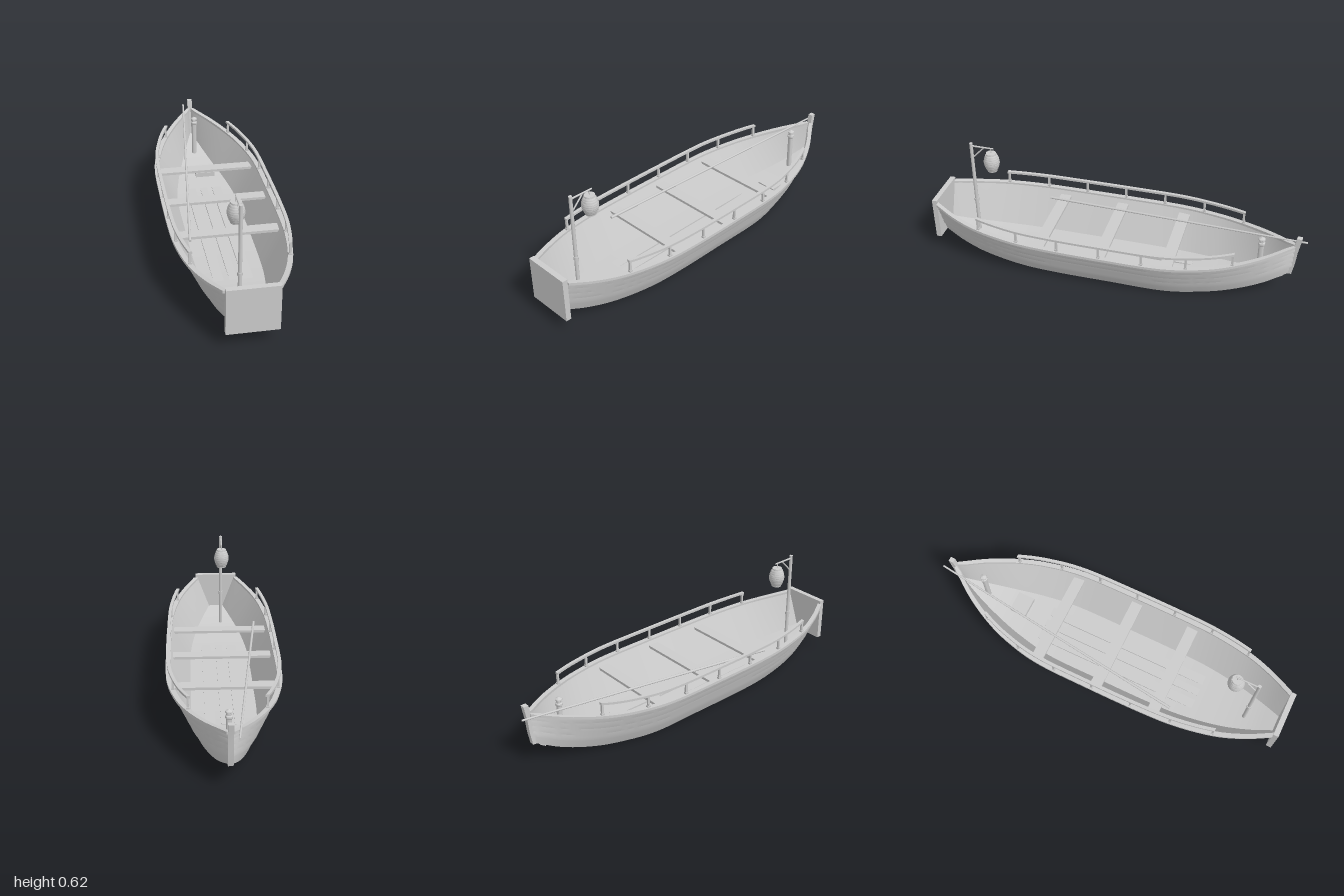
import * as THREE from 'three';
import { toCreasedNormals } from 'three/addons/utils/BufferGeometryUtils.js';

const V = (x, y, z) => new THREE.Vector3(x, y, z);

// hull stations: z, sheer half width, sheer height, chine half width, chine height
const stations = [
  [0.975, 0.122, 0.288, 0.045, 0.08], [0.85, 0.185, 0.268, 0.09, 0.046], [0.7, 0.238, 0.253, 0.13, 0.022],
  [0.5, 0.273, 0.241, 0.16, 0.006], [0.3, 0.284, 0.236, 0.169, 0], [0, 0.286, 0.235, 0.17, 0],
  [-0.3, 0.28, 0.236, 0.167, 0], [-0.5, 0.243, 0.243, 0.137, 0.014], [-0.65, 0.19, 0.255, 0.1, 0.034],
  [-0.8, 0.11, 0.275, 0.055, 0.075], [-0.94, 0.008, 0.3, 0.005, 0.14],
];
const sheer = new THREE.CatmullRomCurve3(stations.map(s => V(s[1], s[2], s[0])), false, 'catmullrom');
const chine = new THREE.CatmullRomCurve3(stations.map(s => V(s[3], s[4], s[0])), false, 'catmullrom');

// sheer and chine points at a given z
function at(z) {
  let a = 0, b = 1;
  for (let i = 0; i < 30; i++) {
    const m = (a + b) / 2;
    if (sheer.getPoint(m).z > z) a = m; else b = m;
  }
  return { s: sheer.getPoint(a), c: chine.getPoint(a) };
}

const steps = (from, to, n) => Array.from({ length: n + 1 }, (_, i) => from + (to - from) * i / n);

// skin a row of closed rings
function loft(rings, caps, crease = 0.5) {
  const n = rings[0].length, index = [];
  for (let i = 0; i < rings.length - 1; i++) {
    for (let j = 0; j < n; j++) {
      const a = i * n + j, b = i * n + (j + 1) % n;
      index.push(a, b, a + n, b, b + n, a + n);
    }
  }
  if (caps) {
    const e = (rings.length - 1) * n;
    for (let j = 1; j < n - 1; j++) index.push(0, j + 1, j, e, e + j, e + j + 1);
  }
  const g = new THREE.BufferGeometry().setFromPoints(rings.flat());
  g.setIndex(index);
  return toCreasedNormals(g, crease);
}

// ring of the lapped planks outside and the smooth skin and floor inside
const laps = [0, 0.26, 0.45, 0.64, 0.83, 1];
function hullRing(z) {
  const { s, c } = at(z);
  const dx = s.x - c.x, dy = s.y - c.y, len = Math.hypot(dx, dy);
  const point = (f, off) => V(Math.max(0.001, c.x + dx * f + off * dy / len), c.y + dy * f - off * dx / len, z);
  const half = [];
  for (let i = 0; i < 5; i++) {
    half.push(point(laps[i], i ? 0.006 : 0), point((laps[i] + laps[i + 1]) / 2, i ? 0.005 : 0.001), point(laps[i + 1], 0));
  }
  half.push(point(1, -0.012), point(0.5, -0.012), point(0.02 / dy, -0.012));
  return [...half, ...half.map(p => V(-p.x, p.y, p.z)).reverse()];
}

// rectangular strip following the sheer on one side
function strip(from, to, side, width, y0, y1, shift) {
  return loft(steps(from, to, 48).map(z => {
    const { s } = at(z), w = width / 2;
    return [[-w, y0], [w, y0], [w, y1], [-w, y1]]
      .map(([x, y]) => V(side * Math.max(0.001, s.x + shift + x), s.y + y, z));
  }), true);
}

export function createModel() {
  const boat = new THREE.Group();
  boat.name = 'rowingBoat';
  const material = new THREE.MeshStandardMaterial({ color: 0xcccccc, side: THREE.DoubleSide });

  const add = (name, geometry, x = 0, y = 0, z = 0, parent = boat) => {
    const mesh = new THREE.Mesh(geometry, material);
    mesh.name = name;
    mesh.position.set(x, y, z);
    parent.add(mesh);
    return mesh;
  };
  const box = (name, w, h, d, x, y, z, parent) => add(name, new THREE.BoxGeometry(w, h, d), x, y, z, parent);
  const rod = (name, a, b, r0, r1 = r0, parent = boat) => {
    const mesh = add(name, new THREE.CylinderGeometry(r1, r0, a.distanceTo(b), 12), 0, 0, 0, parent);
    mesh.position.copy(a).lerp(b, 0.5);
    mesh.quaternion.setFromUnitVectors(V(0, 1, 0), b.clone().sub(a).normalize());
    return mesh;
  };
  const lathe = (name, pts, x, y, z, parent) => add(name,
    toCreasedNormals(new THREE.LatheGeometry(pts.map(p => new THREE.Vector2(...p)), 24), 0.6), x, y, z, parent);

  // hull, transom and stem
  add('hull', loft(steps(0.975, -0.94, 72).map(hullRing), false));
  box('transom', 0.25, 0.236, 0.028, 0, 0.193, 0.986);
  const stemPath = [[0.13, -0.925], [0.2, -0.937], [0.27, -0.943], [0.355, -0.957]];
  add('stem', loft(stemPath.map(([y, z]) =>
    [[-1, -1], [1, -1], [1, 1], [-1, 1]].map(([x, d]) => V(x * 0.013, y, z + d * 0.013))), true));
  box('stemFoot', 0.024, 0.022, 0.034, 0, 0.11, -0.878).rotation.x = 0.6;

  // gunwales and handrails
  for (const side of [1, -1]) {
    const name = side > 0 ? 'left' : 'right';
    add(name + 'Gunwale', strip(0.972, -0.94, side, 0.026, -0.007, 0.007, -0.002));
    const rail = new THREE.Group();
    rail.name = name + 'Handrail';
    boat.add(rail);
    add('railBar', strip(0.697, -0.657, side, 0.017, 0.065, 0.077, -0.004), 0, 0, 0, rail);
    for (const z of steps(0.69, -0.65, 6)) {
      const { s } = at(z), x = side * (s.x - 0.004);
      box('railPost', 0.011, 0.066, 0.011, x, s.y + 0.036, z, rail);
      box('railPostFoot', 0.016, 0.01, 0.016, x, s.y + 0.011, z, rail);
    }
  }

  // thwarts, floor boards and bow locker
  for (const z of [-0.32, 0.03, 0.362]) box('thwart', 0.52, 0.014, 0.062, 0, 0.206, z);
  for (const [x, w] of [[-0.074, 0.052], [0, 0.04], [0.074, 0.052]]) {
    box('floorBoard', w, 0.014, 0.96, x, 0.026, 0.07);
  }
  box('bowLocker', 0.112, 0.04, 0.095, 0.03, 0.048, -0.575);

  // mooring post in the bow
  lathe('mooringPost', [[0, 0.06], [0.014, 0.06], [0.014, 0.275], [0.018, 0.28], [0.018, 0.29], [0.013, 0.295],
    [0.013, 0.305], [0.018, 0.309], [0.017, 0.315], [0, 0.325]], 0, 0, -0.77);

  // long pole lying over the thwarts
  rod('boatPole', V(-0.2, 0.219, 0.435), V(-0.035, 0.306, -0.998), 0.007, 0.005);

  // lantern on its post
  const lamp = new THREE.Group();
  lamp.name = 'lanternStand';
  lamp.position.set(-0.025, 0, 0);
  boat.add(lamp);
  rod('lanternPost', V(0, 0.04, 0.805), V(0, 0.617, 0.805), 0.01, 0.009, lamp);
  rod('postCollar', V(0, 0.25, 0.805), V(0, 0.268, 0.805), 0.013, 0.013, lamp);
  rod('lanternArm', V(0, 0.6, 0.812), V(0, 0.6, 0.68), 0.005, 0.004, lamp);
  rod('armBrace', V(0, 0.528, 0.802), V(0, 0.597, 0.735), 0.004, 0.004, lamp);
  rod('lanternHook', V(0, 0.57, 0.695), V(0, 0.6, 0.695), 0.0025, 0.0025, lamp);
  const profile = [[0, -0.054], [0.027, -0.054], [0.028, -0.045]];
  for (let i = 0; i <= 32; i++) {
    const t = i / 32;
    profile.push([0.029 + 0.0125 * Math.sin(Math.PI * t) + 0.0015 * Math.abs(Math.sin(8 * Math.PI * t)), -0.045 + 0.09 * t]);
  }
  profile.push([0.028, 0.045], [0.027, 0.054], [0, 0.054]);
  lathe('lantern', profile, 0, 0.519, 0.695, lamp);

  return boat;
}
